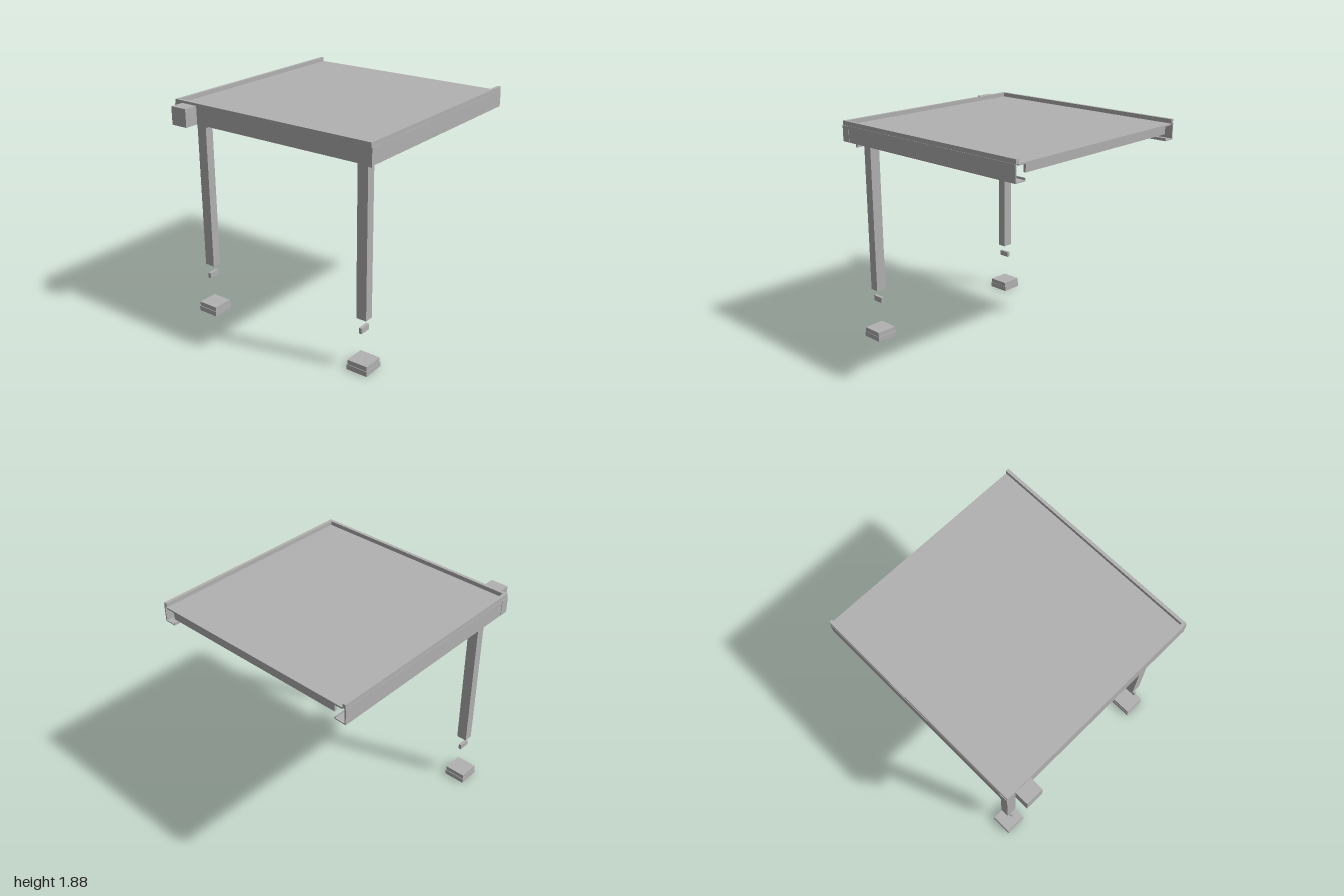
import * as THREE from 'three';

export function createModel() {
  const model = new THREE.Group();
  const grey = new THREE.MeshStandardMaterial({ color: 0xb2b2b2 });
  grey.name = 'light grey metal';

  // Box given by its min and max on each axis
  const box = (name, x0, x1, y0, y1, z0, z1, parent = model) => {
    const m = new THREE.Mesh(new THREE.BoxGeometry(x1 - x0, y1 - y0, z1 - z0), grey);
    m.position.set((x0 + x1) / 2, (y0 + y1) / 2, (z0 + z1) / 2);
    m.name = name;
    parent.add(m);
    return m;
  };
  // The same box on the front (+z) and back (-z) sides
  const pair = (name, x0, x1, y0, y1, z0, z1) => {
    box(name, x0, x1, y0, y1, z0, z1);
    box(name, x0, x1, y0, y1, -z1, -z0);
  };

  // Roof sheet with its cross beams
  box('roofPanel', -0.845, 1.0, 1.832, 1.845, -0.905, 0.905);
  box('edgeBeam', 0.975, 0.995, 1.77, 1.832, -0.83, 0.83);
  box('middleBeam', 0.085, 0.125, 1.77, 1.832, -0.83, 0.83);

  // Front and back gutters: wall, floor, raised rim
  pair('gutterWall', -0.87, 1.0, 1.715, 1.845, 0.925, 0.935);
  pair('gutterFloor', -0.87, 1.0, 1.712, 1.72, 0.835, 0.935);
  pair('gutterLip', -0.77, 1.0, 1.72, 1.735, 0.835, 0.841);
  pair('gutterRim', -0.87, 1.0, 1.845, 1.88, 0.905, 0.932);

  // Gutter along the column side
  box('endGutterWall', -0.873, -0.863, 1.712, 1.845, -0.935, 0.935);
  box('endGutterFloor', -0.863, -0.775, 1.712, 1.72, -0.835, 0.835);
  box('endGutterLip', -0.781, -0.775, 1.72, 1.735, -0.835, 0.835);
  box('endGutterRim', -0.873, -0.845, 1.845, 1.88, -0.932, 0.932);
  pair('cornerCover', -0.874, -0.8, 1.714, 1.843, 0.93, 0.938);

  // Control box outside the back corner
  box('controlBox', -0.99, -0.873, 1.712, 1.86, -0.855, -0.705);

  // Columns with head plates, connector blocks and footings
  for (const z of [0.78, -0.78]) {
    const x = -0.717;
    const support = new THREE.Group();
    support.name = z > 0 ? 'frontSupport' : 'backSupport';
    model.add(support);
    box('column', x - 0.0375, x + 0.0375, 0.435, 1.77, z - 0.045, z + 0.045, support);
    box('headPlate', x - 0.05, x + 0.05, 1.695, 1.712, z - 0.063, z + 0.063, support);
    box('headBracket', -0.79, -0.77, 1.667, 1.712, z + 0.045, z + 0.1, support);
    box('mountPlate', x - 0.08, x + 0.11, 1.822, 1.832, z - 0.09, z + 0.05, support);
    box('connector', x - 0.048, x + 0.048, 0.32, 0.367, z - 0.013, z + 0.013, support);
    box('footingLower', x - 0.093, x + 0.093, 0, 0.042, z - 0.093, z + 0.093, support);
    box('footingUpper', x - 0.087, x + 0.087, 0.042, 0.081, z - 0.09, z + 0.09, support);

    // Diagonal brace across the roof corner
    const brace = box('cornerBrace', x - 0.19, x + 0.19, 1.721, 1.731, z - 0.02, z + 0.02, support);
    brace.rotation.y = -Math.sign(z) * Math.PI / 4;
  }
  return model;
}
